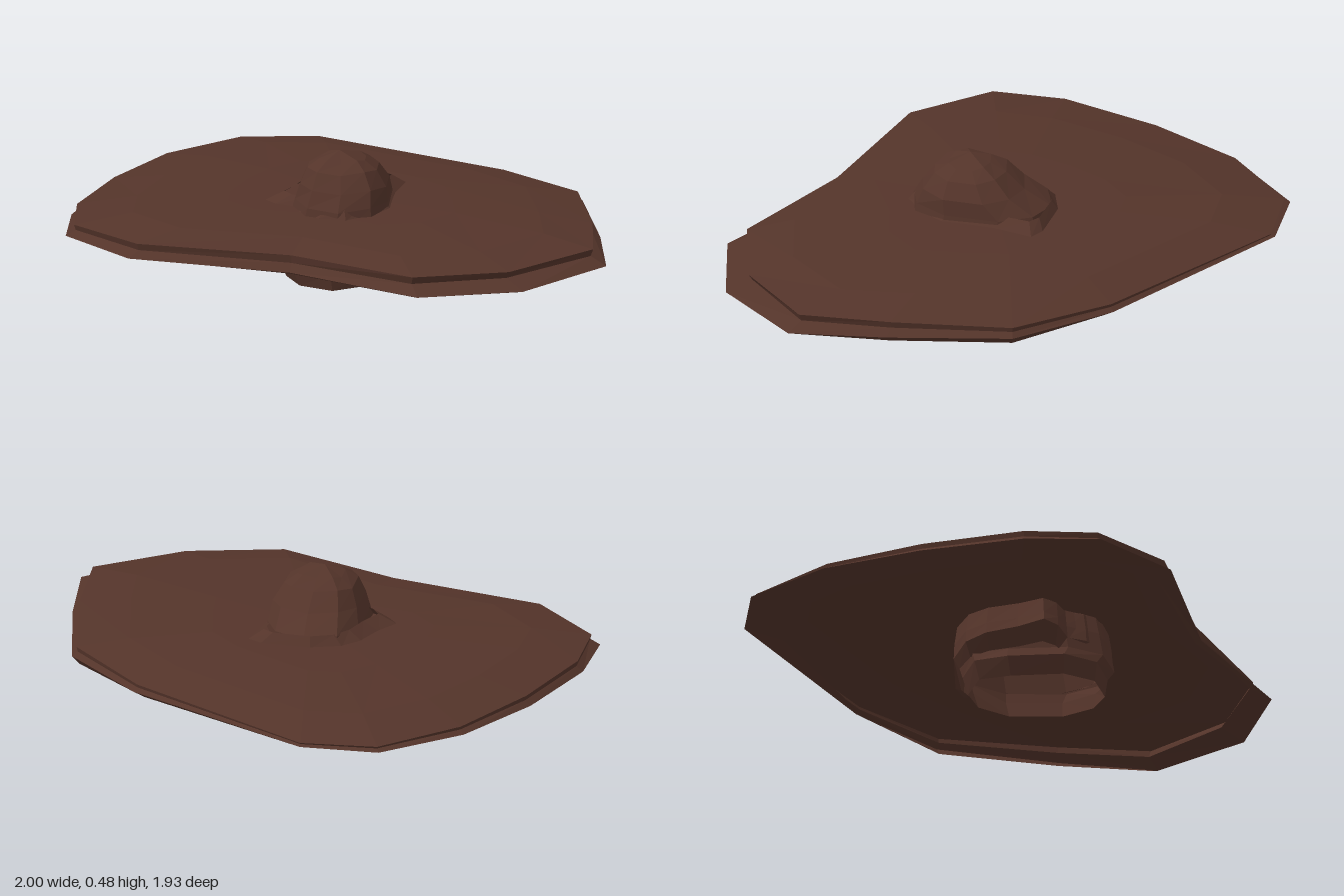
import * as THREE from 'three';

const material = new THREE.MeshStandardMaterial({ color: 0x54342a, flatShading: true, side: THREE.DoubleSide });

// Faceted shell, open below, through rings of [x, y, z] points listed bottom to top,
// each counter-clockwise seen from above; the top point closes the last ring.
function shell(name, rings, top) {
  const pos = [];
  const tri = (a, b, c) => pos.push(...a, ...b, ...c);
  const n = rings[0].length;
  for (let j = 0; j < n; j++) {
    const k = (j + 1) % n;
    for (let i = 0; i < rings.length - 1; i++) {
      const lo = rings[i], hi = rings[i + 1];
      tri(lo[j], lo[k], hi[k]);
      tri(lo[j], hi[k], hi[j]);
    }
    const last = rings[rings.length - 1];
    if (top) tri(last[j], last[k], top);
  }
  const geometry = new THREE.BufferGeometry();
  geometry.setAttribute('position', new THREE.Float32BufferAttribute(pos, 3));
  geometry.computeVertexNormals();
  const mesh = new THREE.Mesh(geometry, material);
  mesh.name = name;
  return mesh;
}

// Rough ten-sided oval ring filling the given x and z extents
function oval(y, x0, x1, z0, z1) {
  const square = (v) => Math.sign(v) * Math.abs(v) ** 0.8;
  return Array.from({ length: 10 }, (_, i) => {
    const a = (i / 10) * Math.PI * 2 + Math.PI / 2;
    return [
      (x0 + x1) / 2 + (square(Math.cos(a)) * (x1 - x0)) / 1.92,
      y + 0.006 * Math.sin(i * 2.3),
      (z0 + z1) / 2 - (square(Math.sin(a)) * (z1 - z0)) / 2,
    ];
  });
}

// Slab outline: x, z, edge height, underside scale, rim scale, rim height
const slabOutline = [
  [-0.46, -0.95, 0.19, 0.85, 0.98, 0.205],
  [-0.72, -0.69, 0.185, 0.86, 0.98, 0.21],
  [-0.89, -0.34, 0.18, 0.86, 0.98, 0.215],
  [-1.0, 0.04, 0.18, 0.86, 0.98, 0.22],
  [-1.0, 0.32, 0.18, 0.86, 0.97, 0.22],
  [-0.75, 0.58, 0.175, 0.92, 0.96, 0.225],
  [-0.15, 0.7, 0.17, 0.97, 0.97, 0.23],
  [0.34, 0.965, 0.163, 0.99, 0.93, 0.22],
  [0.72, 0.87, 0.167, 0.98, 0.92, 0.22],
  [1.0, 0.56, 0.18, 0.96, 0.95, 0.235],
  [0.95, 0.2, 0.185, 0.97, 0.97, 0.235],
  [0.85, -0.25, 0.19, 0.97, 0.98, 0.225],
  [0.55, -0.55, 0.19, 0.94, 0.98, 0.215],
  [-0.17, -0.97, 0.195, 0.85, 0.985, 0.205],
];

// Outline of the lumpy ledge around the stone
const ledgeOutline = [
  [0.16, -0.18], [-0.03, -0.19], [-0.14, -0.15], [-0.2, -0.08], [-0.24, 0.03],
  [-0.29, 0.12], [-0.25, 0.17], [-0.17, 0.205], [-0.15, 0.27], [-0.07, 0.34],
  [0.03, 0.365], [0.13, 0.29], [0.185, 0.2], [0.19, 0], [0.215, -0.15],
];
const ledgeRing = (y, sx, sz, tilt = 0) =>
  ledgeOutline.map(([x, z]) => [x * sx, y - x * tilt, 0.07 + (z - 0.07) * sz]);

export function createModel() {
  const group = new THREE.Group();
  group.name = 'rockShelf';

  // Wide thin slab: hollow below, sharp edge, shallow groove under the rim, domed top
  const dome = (scale, rise) =>
    slabOutline.map(([x, z, , , , h]) => [x * scale, h + (0.28 - h) * rise, z * scale]);
  group.add(shell('slab', [
    slabOutline.map(([x, z, , s]) => [x * s, 0.16, z * s]),
    slabOutline.map(([x, z, y]) => [x, y, z]),
    slabOutline.map(([x, z, y, , r, h]) => {
      const groove = r - (1 - r) * 0.2;
      return [x * groove, (y + h) / 2, z * groove];
    }),
    slabOutline.map(([x, z, , , r, h]) => [x * r, h, z * r]),
    dome(0.76, 0.55),
    dome(0.42, 0.9),
  ], [0, 0.28, 0.05]));

  // Hollow stone through the slab: blunt foot below, rounded knob above
  group.add(shell('stone', [
    oval(0.006, -0.2, 0.16, -0.15, 0.35),
    oval(0.07, -0.235, 0.18, -0.17, 0.36),
    oval(0.11, -0.21, 0.19, -0.18, 0.385),
    oval(0.2, -0.2, 0.19, -0.19, 0.37),
    oval(0.3, -0.17, 0.17, -0.17, 0.35),
    oval(0.36, -0.15, 0.165, -0.07, 0.315),
    oval(0.42, -0.125, 0.13, 0, 0.27),
    oval(0.45, -0.08, 0.085, 0.06, 0.215),
  ], [-0.01, 0.477, 0.14]));

  // Ragged ledge around the stone, tilted below the slab
  group.add(shell('ledge', [
    ledgeRing(0.105, 0.95, 0.97),
    ledgeRing(0.14, 1.19, 1.05, 0.08),
    ledgeRing(0.2, 1.12, 1.04),
    ledgeRing(0.272, 1, 1),
    ledgeRing(0.31, 0.74, 0.9),
  ]));

  return group;
}
